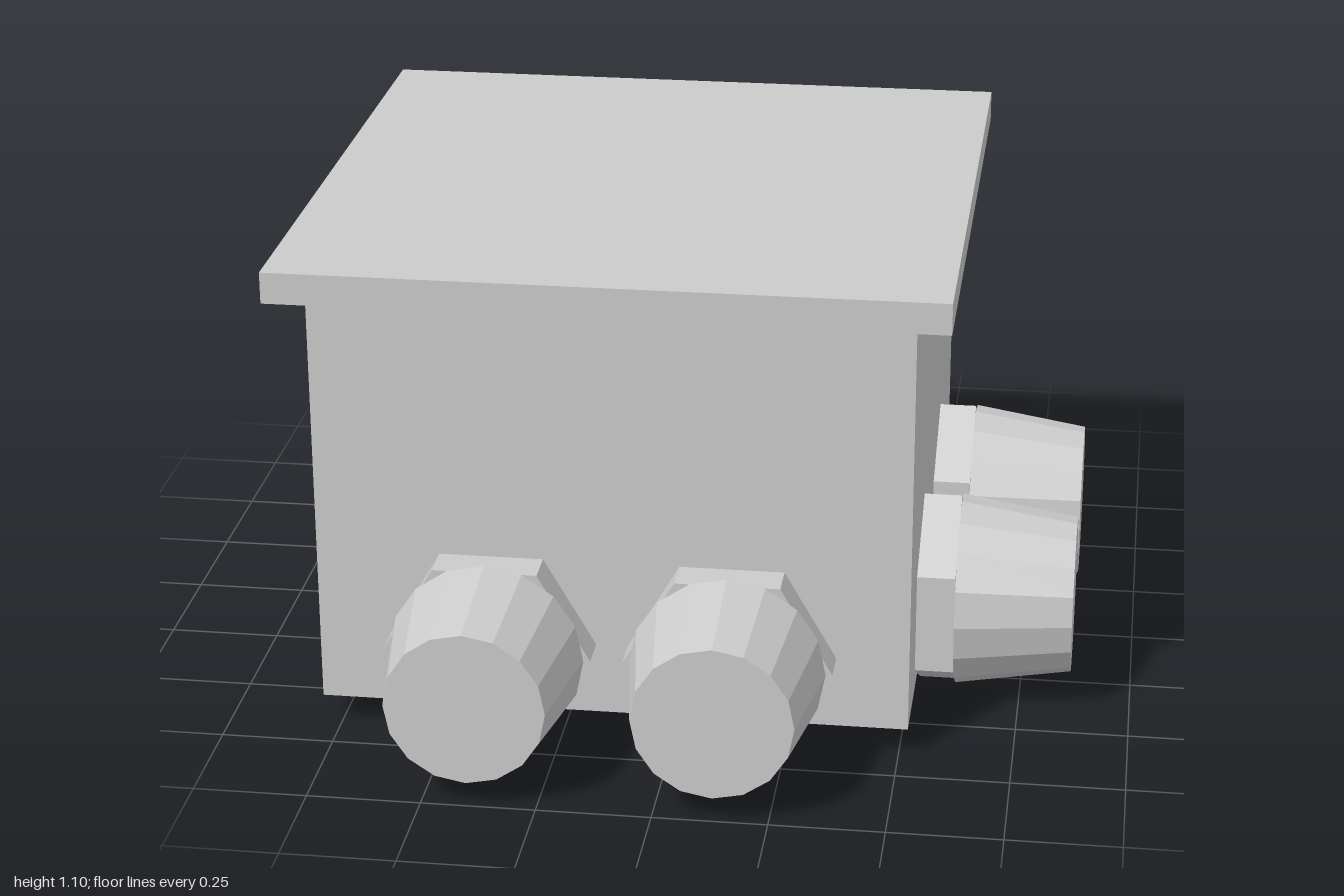
import * as THREE from 'three';

const material = new THREE.MeshStandardMaterial({ color: 0xcccccc, flatShading: true });

function addMesh(parent, name, geometry, x = 0, y = 0, z = 0) {
  const mesh = new THREE.Mesh(geometry, material);
  mesh.name = name;
  mesh.position.set(x, y, z);
  parent.add(mesh);
  return mesh;
}

// Cable gland pointing along +z: hex nut against the wall, tapered cap outside.
// nutRoll 0 puts nut corners at top and bottom.
function makeGland(nutRoll) {
  const gland = new THREE.Group();
  gland.name = 'cableGland';
  const nut = new THREE.CylinderGeometry(0.23, 0.23, 0.085, 6).rotateY(nutRoll).rotateX(Math.PI / 2);
  addMesh(gland, 'hexNut', nut, 0, 0, 0.0425);
  const cap = new THREE.CylinderGeometry(0.175, 0.215, 0.26, 16).rotateX(Math.PI / 2);
  addMesh(gland, 'taperedCap', cap, 0, 0, 0.215);
  return gland;
}

export function createModel() {
  const model = new THREE.Group();
  model.name = 'junctionBox';

  // Housing and overhanging lid
  addMesh(model, 'housing', new THREE.BoxGeometry(1.31, 0.96, 1.31), -0.135, 0.55, 0);
  addMesh(model, 'lid', new THREE.BoxGeometry(1.464, 0.07, 1.464), -0.135, 1.067, 0);

  // Pairs of glands on the front, back and left walls
  const glandY = 0.235;
  for (const offset of [-0.265, 0.265]) {
    for (const side of [1, -1]) {
      const gland = makeGland(Math.PI / 6);
      gland.position.set(-0.135 + offset, glandY, side * 0.655);
      gland.rotation.y = side > 0 ? 0 : Math.PI;
      model.add(gland);
    }
    const gland = makeGland(0);
    gland.position.set(0.52, glandY, offset);
    gland.rotation.y = Math.PI / 2;
    model.add(gland);
  }
  return model;
}
